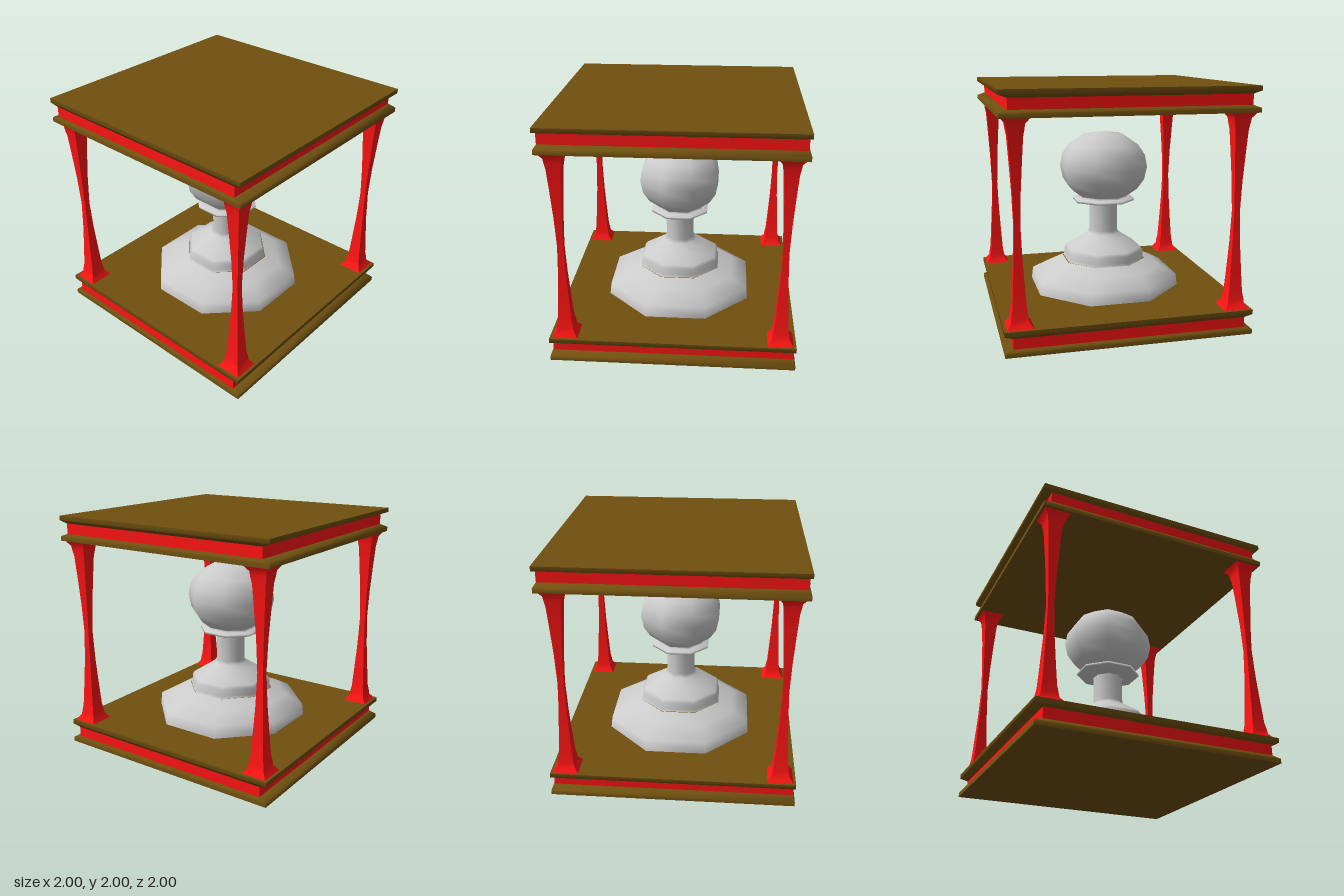
import * as THREE from 'three';
import { toCreasedNormals } from 'three/addons/utils/BufferGeometryUtils.js';

const red = new THREE.MeshStandardMaterial({ color: 0xff1414 });
const brown = new THREE.MeshStandardMaterial({ color: 0x70500f });
const grey = new THREE.MeshStandardMaterial({ color: 0xcccccc });

// Rectangular loft: rings are [halfX, y, halfZ], listed bottom to top
function rectLoft(rings, crease) {
  const pos = [], idx = [];
  for (const [x, y, z] of rings) pos.push(x, y, z, x, y, -z, -x, y, -z, -x, y, z);
  for (let i = 0; i < rings.length - 1; i++) {
    for (let k = 0; k < 4; k++) {
      const a = i * 4 + k, b = i * 4 + (k + 1) % 4;
      idx.push(a, b, b + 4, a, b + 4, a + 4);
    }
  }
  const t = (rings.length - 1) * 4;
  idx.push(0, 2, 1, 0, 3, 2, t, t + 1, t + 2, t, t + 2, t + 3);
  const g = new THREE.BufferGeometry();
  g.setAttribute('position', new THREE.Float32BufferAttribute(pos, 3));
  g.setIndex(idx);
  return toCreasedNormals(g, crease);
}

function add(parent, name, geometry, material) {
  const mesh = new THREE.Mesh(geometry, material);
  mesh.name = name;
  parent.add(mesh);
  return mesh;
}

// Eight-sided turned part, flats on the axes; profile gives [flat radius, y]
function turned(profile, zScale) {
  const k = 1 / Math.cos(Math.PI / 8);
  const pts = profile.map(([r, y]) => new THREE.Vector2(r * k, y));
  return new THREE.LatheGeometry(pts, 8, Math.PI / 8).scale(1, 1, zScale);
}

// Red core sandwiched between two bevelled brown plates
function slab(name, y) {
  const g = new THREE.Group();
  g.name = name;
  g.position.y = y;
  add(g, 'lowerPlate', rectLoft([[1, 0, 1], [1, 0.037, 1], [0.985, 0.06, 0.935]], 1.35), brown);
  add(g, 'core', rectLoft([[0.985, 0.058, 0.935], [0.985, 0.147, 0.935]], 0.5), red);
  add(g, 'upperPlate', rectLoft([[0.985, 0.145, 0.935], [1, 0.168, 1], [1, 0.205, 1]], 1.35), brown);
  return g;
}

export function createModel() {
  const model = new THREE.Group();
  model.name = 'framedPawn';
  model.add(slab('baseSlab', 0), slab('topSlab', 1.795));

  // Four square columns, waisted in the middle and flared at the ends
  const half = [[0.105, 0.203], [0.07, 0.25], [0.065, 0.29], [0.056, 0.34], [0.046, 0.5], [0.032, 0.75]];
  const rings = [...half, [0.024, 1], ...half.map(([w, y]) => [w, 2 - y]).reverse()];
  const columnGeo = rectLoft(rings.map(([w, y]) => [w, y, w]), 0.9);
  for (const x of [-1, 1]) {
    for (const z of [-1, 1]) {
      const column = add(model, 'column', columnGeo, red);
      column.position.set(x * 0.875, 0, z * 0.875);
    }
  }

  // Pawn in the middle
  const pawn = new THREE.Group();
  pawn.name = 'pawn';
  add(pawn, 'foot', turned([[0.615, 0.203], [0.603, 0.305], [0.47, 0.38], [0.345, 0.44]], 1), grey);
  add(pawn, 'body', turned([[0.345, 0.44], [0.335, 0.46], [0.333, 0.515], [0.315, 0.542], [0.2, 0.62],
    [0.135, 0.665], [0.118, 0.695], [0.118, 0.935]], 0.98), grey);
  add(pawn, 'collar', turned([[0.115, 0.93], [0.16, 0.943], [0.24, 0.96], [0.243, 0.98], [0.195, 0.988],
    [0.183, 1.0], [0.192, 1.012]], 1.05), grey);
  add(pawn, 'head', turned([[0.188, 1.005], [0.26, 1.065], [0.312, 1.15], [0.333, 1.26], [0.317, 1.365],
    [0.265, 1.455], [0.15, 1.545], [0, 1.57]], 1.08), grey);
  model.add(pawn);
  return model;
}
